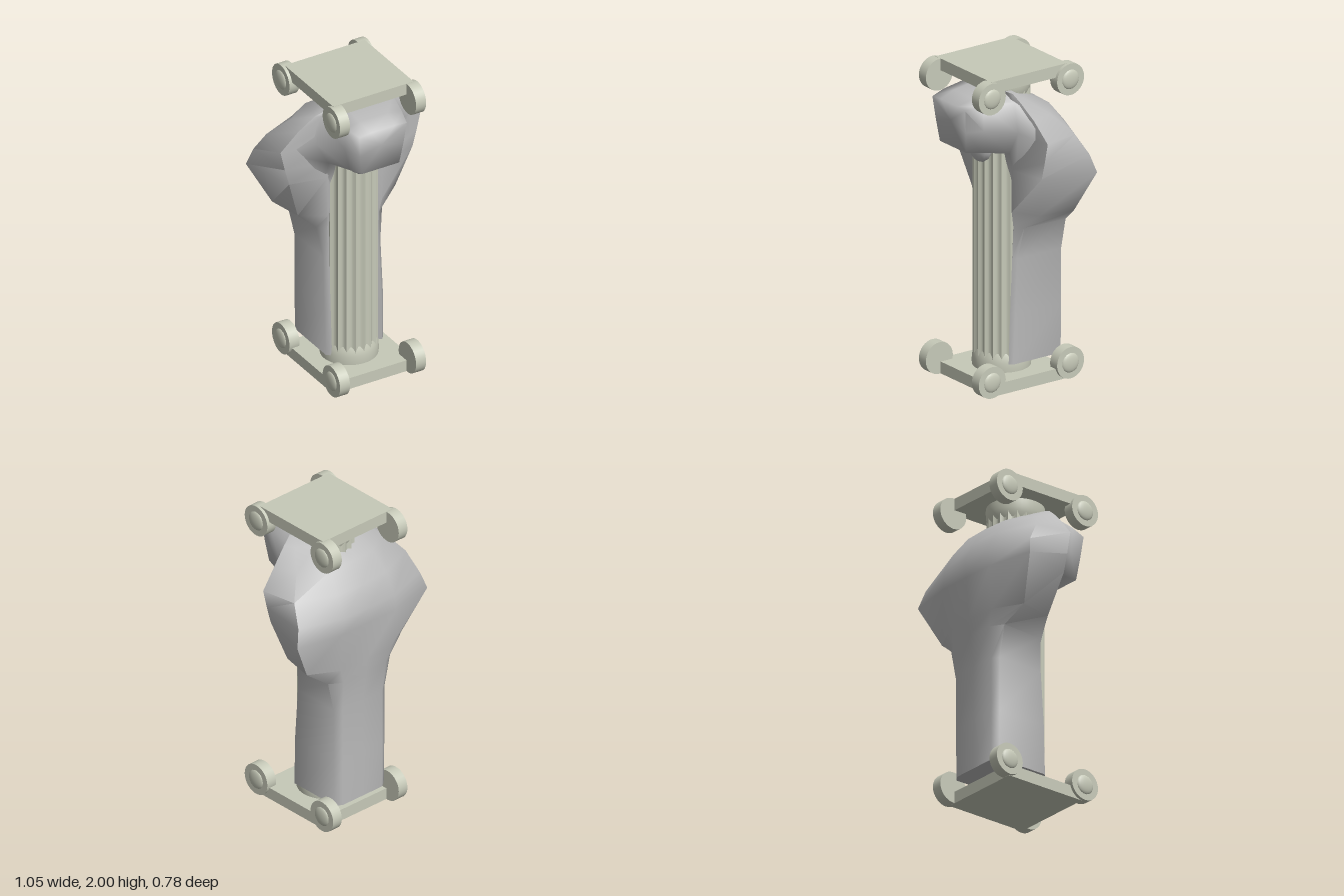
import * as THREE from 'three';
import { mergeVertices, toCreasedNormals } from 'three/addons/utils/BufferGeometryUtils.js';

const stone = new THREE.MeshStandardMaterial({ color: 0xc6c9b8 });
const rock = new THREE.MeshStandardMaterial({ color: 0xbababa, side: THREE.DoubleSide });

function add(parent, name, geometry, material, x = 0, y = 0, z = 0) {
  const mesh = new THREE.Mesh(geometry, material);
  mesh.name = name;
  mesh.position.set(x, y, z);
  parent.add(mesh);
  return mesh;
}

// Skin over closed rings of equal length, with a fan cap at each end
function loft(rings, crease) {
  const n = rings[0].length;
  const pos = rings.flat(2);
  const index = [];
  for (let r = 0; r < rings.length - 1; r++) {
    for (let i = 0; i < n; i++) {
      const a = r * n + i, b = r * n + (i + 1) % n;
      index.push(a, b, b + n, a, b + n, a + n);
    }
  }
  const last = (rings.length - 1) * n;
  [[rings[0], 0], [rings[rings.length - 1], last]].forEach(([ring, start], end) => {
    const centre = [0, 1, 2].map(k => ring.reduce((s, p) => s + p[k], 0) / n);
    const c = pos.length / 3;
    pos.push(...centre);
    for (let i = 0; i < n; i++) {
      const a = start + i, b = start + (i + 1) % n;
      if (end) index.push(a, b, c); else index.push(b, a, c);
    }
  });
  const g = new THREE.BufferGeometry();
  g.setAttribute('position', new THREE.Float32BufferAttribute(pos, 3));
  g.setIndex(index);
  return toCreasedNormals(mergeVertices(g), crease);
}

// Square slab with a scroll disc at each corner and a collar for the shaft
function makePlinth(name) {
  const g = new THREE.Group();
  g.name = name;
  add(g, 'slab', new THREE.BoxGeometry(0.56, 0.075, 0.56), stone, 0, 0.0375, 0);
  const disc = new THREE.CylinderGeometry(0.1, 0.1, 0.07, 32).rotateZ(Math.PI / 2);
  const boss = new THREE.SphereGeometry(0.062, 20, 12).scale(0.3, 1, 1);
  for (const sx of [-1, 1]) {
    for (const sz of [-1, 1]) {
      add(g, 'scroll', disc, stone, sx * 0.265, 0.1, sz * 0.29);
      add(g, 'scrollBoss', boss, stone, sx * 0.297, 0.1, sz * 0.29);
    }
  }
  const collar = [[0.176, 0.07], [0.178, 0.1], [0.176, 0.13], [0.172, 0.16], [0.16, 0.19]];
  add(g, 'collar', new THREE.LatheGeometry(collar.map(p => new THREE.Vector2(...p)), 40), stone);
  return g;
}

function makeShaft() {
  const s = new THREE.Shape();
  const flutes = 20, steps = 8;
  for (let i = 0; i < flutes * steps; i++) {
    const a = i / (flutes * steps) * Math.PI * 2;
    const r = 0.173 - 0.013 * Math.sin((i % steps) / steps * Math.PI);
    if (i) s.lineTo(r * Math.cos(a), r * Math.sin(a));
    else s.moveTo(r, 0);
  }
  const g = new THREE.ExtrudeGeometry(s, { depth: 1.74, bevelEnabled: false });
  g.rotateX(-Math.PI / 2);
  return toCreasedNormals(g, 0.7);
}

export function createModel() {
  const model = new THREE.Group();
  model.name = 'columnWithBoulder';

  // Fluted column
  add(model, 'shaft', makeShaft(), stone, 0, 0.13, 0);
  model.add(makePlinth('base'));
  const capital = makePlinth('capital');
  capital.rotation.x = Math.PI;
  capital.position.y = 2;
  model.add(capital);

  // Boulder body: [height, front z, back z, then half outline (x, z) front to back]
  const levels = [
    [0.135, -0.08, -0.32, [0.18, 0.08], [0.2, 0.06], [0.2, -0.29], [0.16, -0.32]],
    [0.45, -0.08, -0.325, [0.18, 0.07], [0.205, 0.05], [0.205, -0.29], [0.16, -0.32]],
    [0.8, -0.08, -0.325, [0.175, 0.05], [0.2, 0.03], [0.205, -0.29], [0.16, -0.32]],
    [1.0, -0.08, -0.35, [0.18, 0.045], [0.23, 0], [0.25, -0.29], [0.17, -0.34]],
    [1.1, -0.08, -0.36, [0.19, 0.065], [0.34, -0.03], [0.385, -0.25], [0.2, -0.35]],
    [1.37, -0.05, -0.38, [0.195, 0.07], [0.43, 0.02], [0.525, -0.32], [0.22, -0.38]],
    [1.48, 0, -0.39, [0.2, 0.07], [0.46, 0.02], [0.49, -0.29], [0.2, -0.385]],
    [1.61, 0.05, -0.325, [0.22, 0.075], [0.49, 0.02], [0.45, -0.21], [0.2, -0.315]],
    [1.73, 0.06, -0.235, [0.24, 0.08], [0.38, 0.04], [0.34, -0.11], [0.17, -0.225]],
    [1.82, 0.07, -0.07, [0.23, 0.09], [0.28, 0.065], [0.25, 0], [0.14, -0.06]],
    [1.865, 0.09, 0.03, [0.17, 0.09], [0.22, 0.08], [0.2, 0.06], [0.1, 0.035]],
  ];
  const bodyRings = levels.map(([y, zf, zb, ...half]) => [
    [0, y, zf],
    ...half.map(([x, z]) => [x, y, z]),
    [0, y, zb],
    ...half.slice().reverse().map(([x, z]) => [-x, y, z]),
  ]);
  add(model, 'boulder', loft(bodyRings, 1.15), rock);

  // Overhanging brow: half outline (x, y, z) from bottom to top at each step forward
  const brow = [
    [[0.21, 1.3, 0.05], [0.48, 1.6, 0.01], [0.3, 1.79, 0.04], [0.1, 1.855, 0.03]],
    [[0.195, 1.48, 0.085], [0.275, 1.63, 0.08], [0.25, 1.82, 0.085], [0.1, 1.868, 0.09]],
    [[0.155, 1.51, 0.26], [0.19, 1.66, 0.27], [0.197, 1.82, 0.28], [0.1, 1.84, 0.28]],
    [[0.13, 1.525, 0.36], [0.15, 1.66, 0.375], [0.165, 1.805, 0.39], [0.08, 1.812, 0.39]],
  ];
  const browRings = brow.map(half => [
    ...half,
    ...half.slice().reverse().map(([x, y, z]) => [-x, y, z]),
  ]);
  add(model, 'brow', loft(browRings, 1.55), rock);

  // Small lip hanging under the brow
  const lip = new THREE.SphereGeometry(1, 12, 8).scale(0.105, 0.11, 0.055);
  add(model, 'lip', lip, rock, 0, 1.5, 0.16);

  return model;
}
